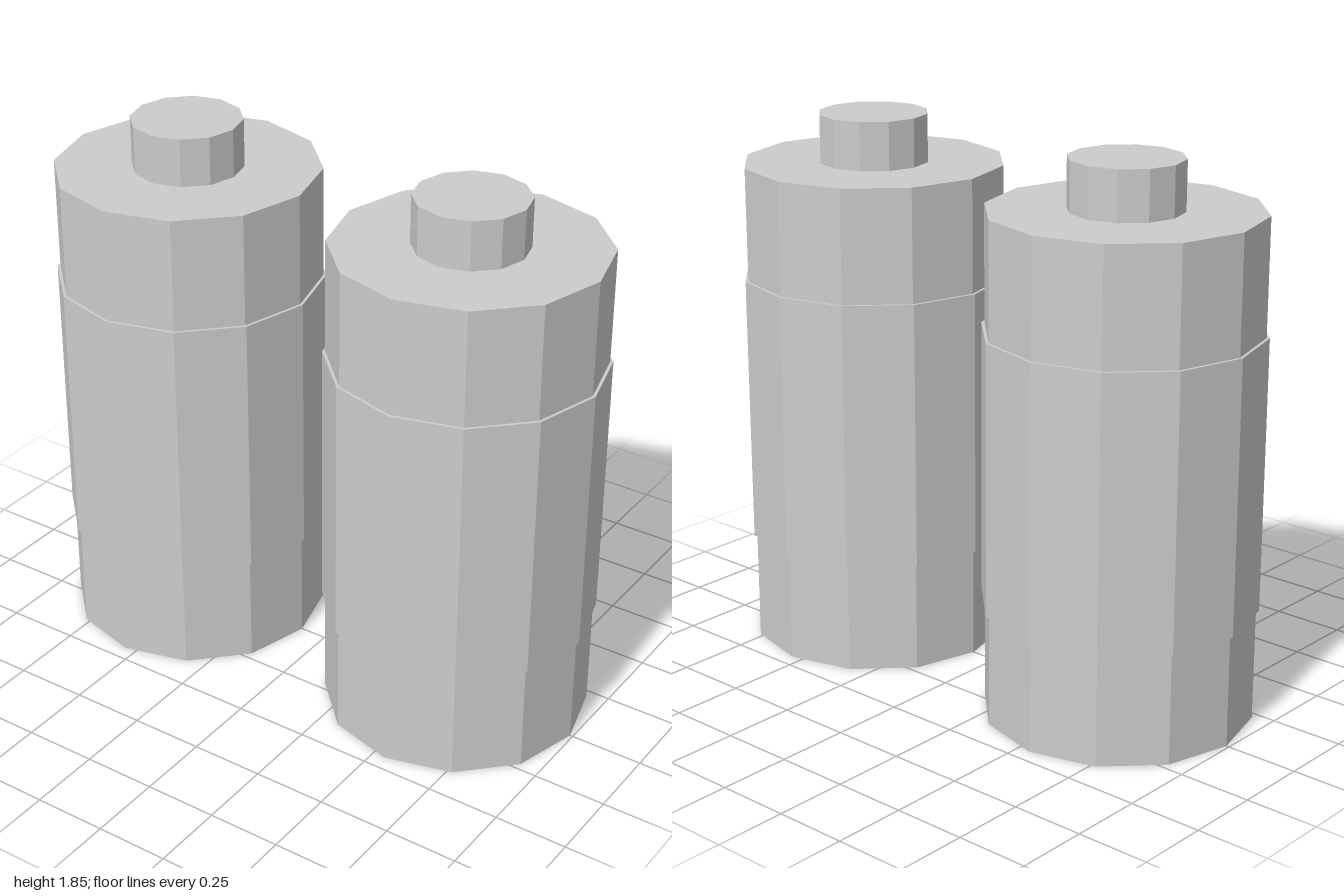
import * as THREE from 'three';

const SIDES = 12;

export function createModel() {
  const metal = new THREE.MeshStandardMaterial({ color: 0xcccccc, flatShading: true, side: THREE.DoubleSide });
  metal.name = 'light grey metal';

  // Twelve-sided turned part from [radius, height] pairs, listed upwards
  const turned = (name, profile) => {
    const points = profile.map(([r, y]) => new THREE.Vector2(r, y));
    const mesh = new THREE.Mesh(new THREE.LatheGeometry(points, SIDES), metal);
    mesh.name = name;
    return mesh;
  };

  const model = new THREE.Group();
  model.name = 'cylinderPair';

  for (const [name, x] of [['rightCylinder', -0.543], ['leftCylinder', 0.543]]) {
    const cylinder = new THREE.Group();
    cylinder.name = name;
    cylinder.position.x = x;
    cylinder.add(
      // Hollow body, open underneath and closed on top
      turned('body', [[0.447, 0], [0.447, 1.685], [0, 1.685]]),
      // Thin sleeve around the middle with a narrow upper ledge
      turned('sleeve', [[0.457, 0.38], [0.457, 1.297], [0.447, 1.297]]),
      // Small terminal on top
      turned('terminal', [[0.187, 1.685], [0.187, 1.85], [0, 1.85]])
    );
    model.add(cylinder);
  }
  return model;
}
